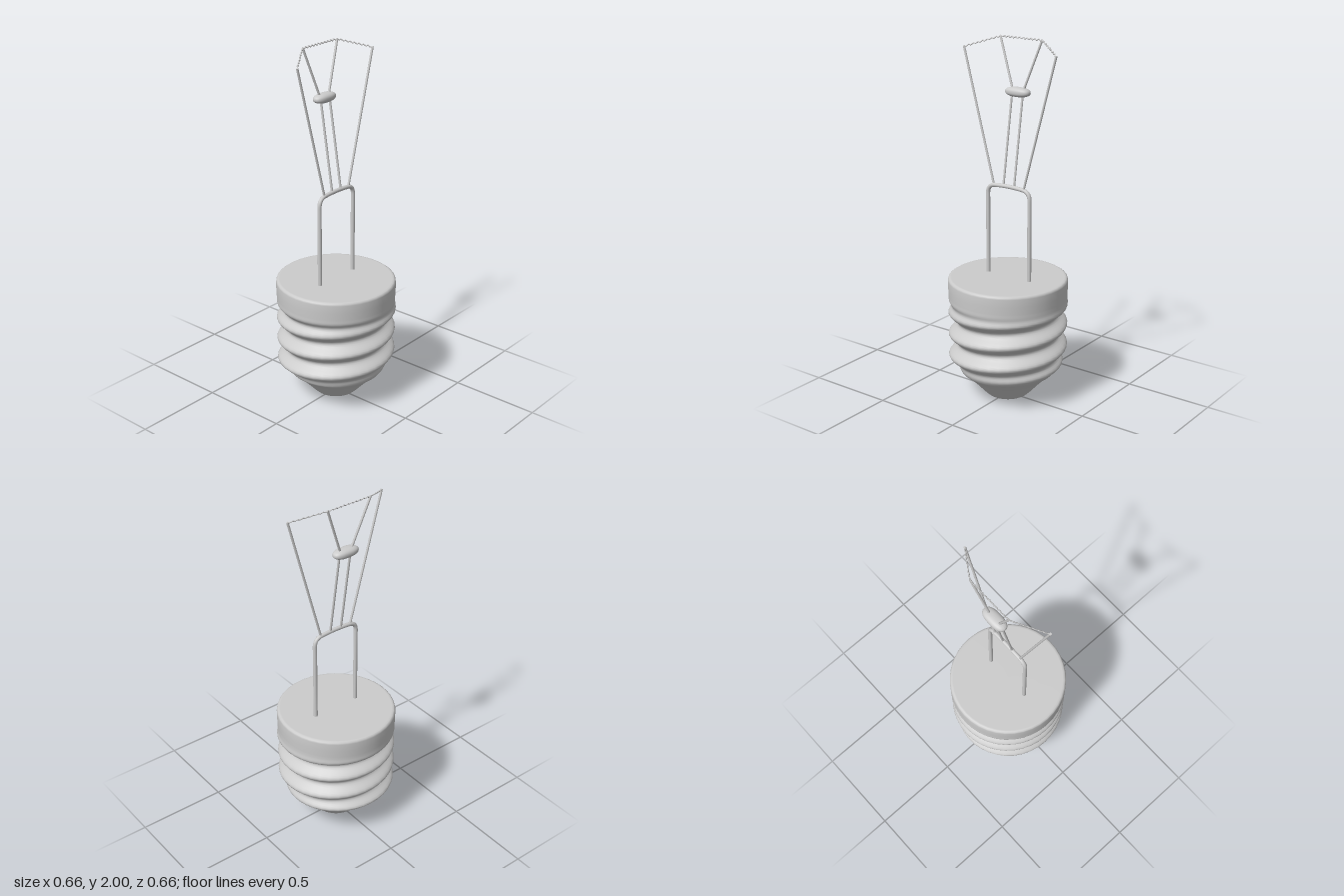
import * as THREE from 'three';
import { mergeVertices } from 'three/addons/utils/BufferGeometryUtils.js';

const grey = new THREE.MeshStandardMaterial({ color: 0xcccccc });
const V = (x, y, z) => new THREE.Vector3(x, y, z);

function part(name, geometry) {
  const mesh = new THREE.Mesh(geometry, grey);
  mesh.name = name;
  return mesh;
}

// Straight round wire between two points
function wire(name, a, b, radius) {
  const dir = b.clone().sub(a);
  const mesh = part(name, new THREE.CylinderGeometry(radius, radius, dir.length(), 10));
  mesh.position.copy(a).add(b).multiplyScalar(0.5);
  mesh.quaternion.setFromUnitVectors(V(0, 1, 0), dir.normalize());
  return mesh;
}

// Lathed cap whose wall is pushed in and out along a helix
function screwBase() {
  const pts = [[0, 0], [0.075, 0], [0.1, 0.004], [0.118, 0.014], [0.135, 0.03], [0.19, 0.09], [0.245, 0.145]]
    .map(([r, y]) => new THREE.Vector2(r, y));
  const rows = 52, y0 = 0.155, y1 = 0.6;
  for (let i = 0; i <= rows; i++) {
    const y = y0 + (y1 - y0) * i / rows;
    const r = 0.255 + 0.05 * THREE.MathUtils.smoothstep(y, 0.13, 0.23)
      + 0.023 * THREE.MathUtils.smoothstep(y, 0.5, 0.575);
    pts.push(new THREE.Vector2(r, y));
  }
  for (const [r, y] of [[0.33, 0.64], [0.33, 0.685], [0.327, 0.695], [0.32, 0.7], [0.31, 0.701], [0, 0.701]])
    pts.push(new THREE.Vector2(r, y));

  let geo = new THREE.LatheGeometry(pts, 40);
  const p = geo.attributes.position, pitch = 0.125;
  for (let i = 0; i < p.count; i++) {
    const x = p.getX(i), y = p.getY(i), z = p.getZ(i), r = Math.hypot(x, z);
    const fade = THREE.MathUtils.smoothstep(y, 0.15, 0.23) * (1 - THREE.MathUtils.smoothstep(y, 0.51, 0.58));
    if (fade === 0 || r === 0) continue;
    const phase = 2 * Math.PI * (y - 0.266) / pitch - Math.atan2(x, z);
    const k = 1 + 0.025 * fade * Math.cos(phase) / r;
    p.setXYZ(i, x * k, y, z * k);
  }
  geo.deleteAttribute('uv');
  geo.deleteAttribute('normal');
  geo = mergeVertices(geo, 1e-5);
  geo.computeVertexNormals();
  return part('screwBase', geo);
}

// Thick wire arch with rounded corners
function supportArch() {
  const path = new THREE.CurvePath();
  const w = 0.138, top = 1.208, c = 0.045;
  path.add(new THREE.LineCurve3(V(-w, 0.68, 0), V(-w, top - c - 0.01, 0)));
  path.add(new THREE.QuadraticBezierCurve3(V(-w, top - c - 0.01, 0), V(-w, top - 0.008, 0), V(-w + c, top - 0.003, 0)));
  path.add(new THREE.QuadraticBezierCurve3(V(-w + c, top - 0.003, 0), V(0, top + 0.006, 0), V(w - c, top - 0.003, 0)));
  path.add(new THREE.QuadraticBezierCurve3(V(w - c, top - 0.003, 0), V(w, top - 0.008, 0), V(w, top - c - 0.01, 0)));
  path.add(new THREE.LineCurve3(V(w, top - c - 0.01, 0), V(w, 0.68, 0)));
  return part('supportArch', new THREE.TubeGeometry(path, 140, 0.0115, 12));
}

// Fine zigzag wire strung over the four support tips
function filament(tips) {
  const path = new THREE.CurvePath(), points = [];
  for (let s = 0; s < tips.length - 1; s++) {
    const n = s === 1 ? 22 : 16;
    for (let i = 0; i < n; i++) {
      const q = tips[s].clone().lerp(tips[s + 1], i / n);
      if (i > 0) {
        q.y += i % 2 ? -0.007 : 0.001;
        q.z += i % 2 ? 0.003 : -0.003;
      }
      points.push(q);
    }
  }
  points.push(tips[tips.length - 1]);
  for (let i = 0; i < points.length - 1; i++) path.add(new THREE.LineCurve3(points[i], points[i + 1]));
  return part('filament', new THREE.TubeGeometry(path, 432, 0.0032, 6));
}

// Flattened glass bead with blunt ends
function bead() {
  const geo = new THREE.SphereGeometry(1, 32, 20);
  const p = geo.attributes.position;
  const blunt = (v, e) => Math.sign(v) * Math.pow(Math.abs(v), e);
  for (let i = 0; i < p.count; i++)
    p.setXYZ(i, 0.077 * blunt(p.getX(i), 0.8), 0.026 * blunt(p.getY(i), 0.85), 0.037 * blunt(p.getZ(i), 0.85));
  geo.computeVertexNormals();
  const mesh = part('bead', geo);
  mesh.position.set(0, 1.71, -0.082);
  return mesh;
}

export function createModel() {
  const model = new THREE.Group();
  model.name = 'bulbInterior';
  model.add(screwBase());

  const wires = new THREE.Group();
  wires.name = 'wireAssembly';
  wires.position.x = 0.004;
  wires.add(supportArch(), bead());
  for (const [side, s] of [['left', 1], ['right', -1]]) {
    wires.add(
      wire(side + 'OuterWire', V(s * 0.098, 1.205, 0), V(s * 0.296, 1.938, -0.002), 0.0065),
      wire(side + 'LowerInnerWire', V(s * 0.035, 1.205, 0), V(s * 0.035, 1.705, -0.078), 0.0065),
      wire(side + 'UpperInnerWire', V(s * 0.033, 1.715, -0.083), V(s * 0.134, 1.992, -0.11), 0.0065)
    );
  }
  wires.add(filament([V(-0.296, 1.938, -0.003), V(-0.134, 1.994, -0.112), V(0.134, 1.994, -0.112), V(0.296, 1.938, -0.003)]));
  model.add(wires);
  return model;
}
